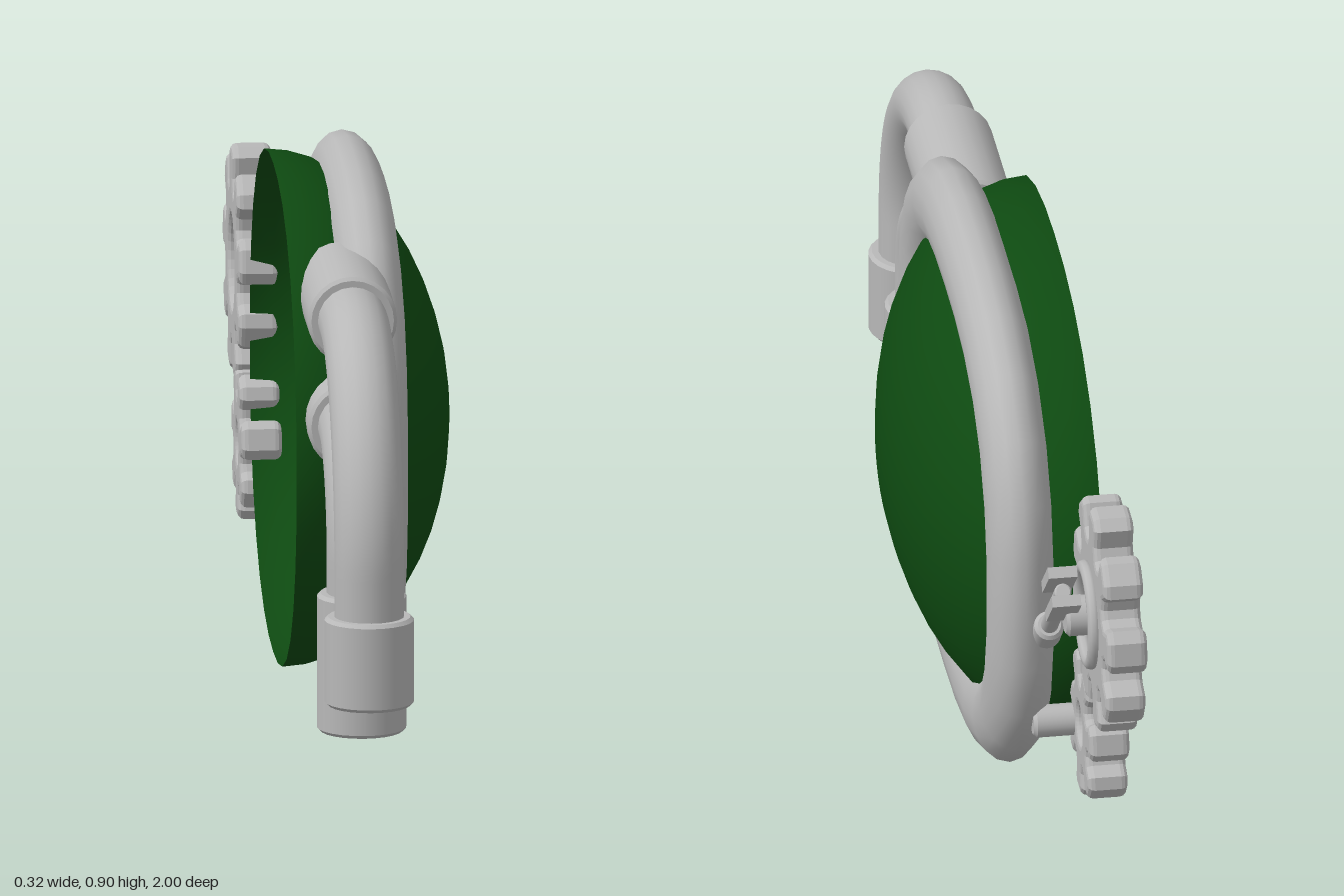
import * as THREE from 'three';
import { ParametricGeometry } from 'three/addons/geometries/ParametricGeometry.js';

const CY = 0.455, CZ = -0.07; // middle of the frame and dome
const PIPE_X = -0.047;

export function createModel() {
  const model = new THREE.Group();
  const grey = new THREE.MeshStandardMaterial({ color: 0xb8b8b8 });
  grey.name = 'light grey metal';
  const green = new THREE.MeshStandardMaterial({ color: 0x0e4a11, side: THREE.DoubleSide });
  green.name = 'dark green glass';

  const add = (name, geometry, material = grey, parent = model) => {
    const mesh = new THREE.Mesh(geometry, material);
    mesh.name = name;
    parent.add(mesh);
    return mesh;
  };

  // Radius of a rounded-square outline in direction (c, s)
  const squircle = (c, s, n) => Math.pow(Math.abs(c) ** n + Math.abs(s) ** n, -1 / n);

  // Oval frame
  add('frame', new ParametricGeometry((u, v, p) => {
    const a = u * Math.PI * 2, b = v * Math.PI * 2;
    const c = Math.cos(a), s = Math.sin(a), r = squircle(c, s, 2.6);
    p.set(-0.003 - 0.058 * Math.sin(b),
      CY + (0.375 + 0.075 * Math.cos(b)) * r * s,
      CZ + (0.505 + 0.075 * Math.cos(b)) * r * c);
  }, 28, 16));

  // Open-backed dome
  const dome = new THREE.SphereGeometry(1, 32, 12, 0, Math.PI * 2, 0, Math.PI / 2);
  dome.rotateZ(-Math.PI / 2);
  const pos = dome.attributes.position;
  for (let i = 0; i < pos.count; i++) {
    const y = pos.getY(i), z = pos.getZ(i), d = Math.hypot(y, z);
    if (d < 1e-6) continue;
    const k = squircle(z / d, y / d, 2.25);
    pos.setY(i, y * k);
    pos.setZ(i, z * k);
  }
  dome.scale(0.3, 0.43, 0.555).translate(-0.14, CY, CZ);
  add('dome', dome, green);

  // Solid rod between two points, with slightly chamfered ends
  const rod = (name, from, to, radius, chamfer = 0.006) => {
    const a = new THREE.Vector3(...from), b = new THREE.Vector3(...to);
    const h = a.distanceTo(b);
    const parts = new THREE.Group();
    parts.name = name;
    add(name + 'Side', new THREE.CylinderGeometry(radius, radius, h - 2 * chamfer, 24, 1, true), grey, parts);
    for (const s of [1, -1]) {
      const end = new THREE.CylinderGeometry(radius - chamfer, radius, chamfer, 24);
      if (s < 0) end.rotateX(Math.PI);
      add(name + 'End', end, grey, parts).position.y = s * (h - chamfer) / 2;
    }
    parts.position.copy(a).lerp(b, 0.5);
    parts.quaternion.setFromUnitVectors(new THREE.Vector3(0, 1, 0), b.sub(a).normalize());
    model.add(parts);
  };

  // Bent pipes with a collar in the frame and a cap at the lower end
  const pipe = (name, y, z, bend, capBottom) => {
    const P = (py, pz) => new THREE.Vector3(PIPE_X, py, pz);
    const k = bend * 0.4477;
    const path = new THREE.CurvePath();
    path.add(new THREE.LineCurve3(P(y, 0.4), P(y, z - bend)));
    path.add(new THREE.CubicBezierCurve3(P(y, z - bend), P(y, z - k), P(y - k, z), P(y - bend, z)));
    path.add(new THREE.LineCurve3(P(y - bend, z), P(0.28, z)));
    add(name, new THREE.TubeGeometry(path, 40, 0.06, 20));
    rod(name + 'Collar', [PIPE_X, y, 0.25], [PIPE_X, y, 0.53], 0.077);
    rod(name + 'Cap', [PIPE_X, capBottom, z], [PIPE_X, 0.315, z], 0.077);
  };
  pipe('outerPipe', 0.743, 0.923, 0.35, 0.16);
  pipe('innerPipe', 0.557, 0.74, 0.19, 0.073);

  // Gears with flared, rounded teeth
  const gear = (name, y, z, teeth, root, tip, hole, start) => {
    const step = Math.PI * 2 / teeth, bevel = 0.012;
    const points = [];
    for (let i = 0; i < teeth; i++) {
      const profile = [[-0.36, root], [-0.17, root + (tip - root) * 0.3], [-0.2, tip - bevel * 1.6], [-0.12, tip - bevel],
        [0.12, tip - bevel], [0.2, tip - bevel * 1.6], [0.17, root + (tip - root) * 0.3], [0.36, root]];
      for (const [f, r] of profile) {
        const a = start + (i + f) * step;
        points.push(new THREE.Vector2(r * Math.cos(a), r * Math.sin(a)));
      }
    }
    const shape = new THREE.Shape(points);
    shape.holes.push(new THREE.Path().absarc(0, 0, hole + bevel, 0, Math.PI * 2, true));
    const geometry = new THREE.ExtrudeGeometry(shape, {
      depth: 0.046, bevelEnabled: true, bevelThickness: bevel, bevelSize: bevel, bevelSegments: 3, curveSegments: 16,
    });
    geometry.translate(0, 0, -0.023).rotateY(Math.PI / 2);
    add(name, geometry).position.set(-0.125, y, z);
  };
  const GY = 0.545, GZ = -0.8;
  gear('largeGear', GY, GZ, 9, 0.125, 0.203, 0.08, 1.53);
  gear('smallGear', 0.257, -0.668, 7, 0.07, 0.132, 0.035, 0.2);

  // Large gear hub: raised ring, spoke and axle
  const ring = new THREE.TorusGeometry(0.083, 0.012, 10, 32).rotateY(Math.PI / 2);
  add('hubRing', ring).position.set(-0.085, GY, GZ);
  const spoke = add('hubSpoke', new THREE.BoxGeometry(0.03, 0.2, 0.04));
  spoke.position.set(-0.12, GY, GZ);
  spoke.rotation.x = -0.6;
  rod('hubAxle', [-0.15, GY, GZ], [-0.045, GY, GZ], 0.035);

  // Small gear axle into the frame
  rod('smallGearAxle', [-0.12, 0.23, -0.6], [-0.02, 0.23, -0.6], 0.028);

  // Crank rod with socket and crosspiece
  rod('crankRod', [-0.04, 0.42, -0.63], [-0.04, 0.605, -0.82], 0.015, 0.003);
  rod('crankSocket', [-0.04, 0.41, -0.62], [-0.04, 0.455, -0.666], 0.026);
  for (const s of [-1, 1]) {
    const bar = add('crankCrosspiece', new THREE.BoxGeometry(0.05, 0.02, 0.1));
    bar.position.set(-0.04, 0.59 + s * 0.016, -0.8 + s * 0.022);
    bar.rotation.x = 0.75;
  }
  return model;
}
